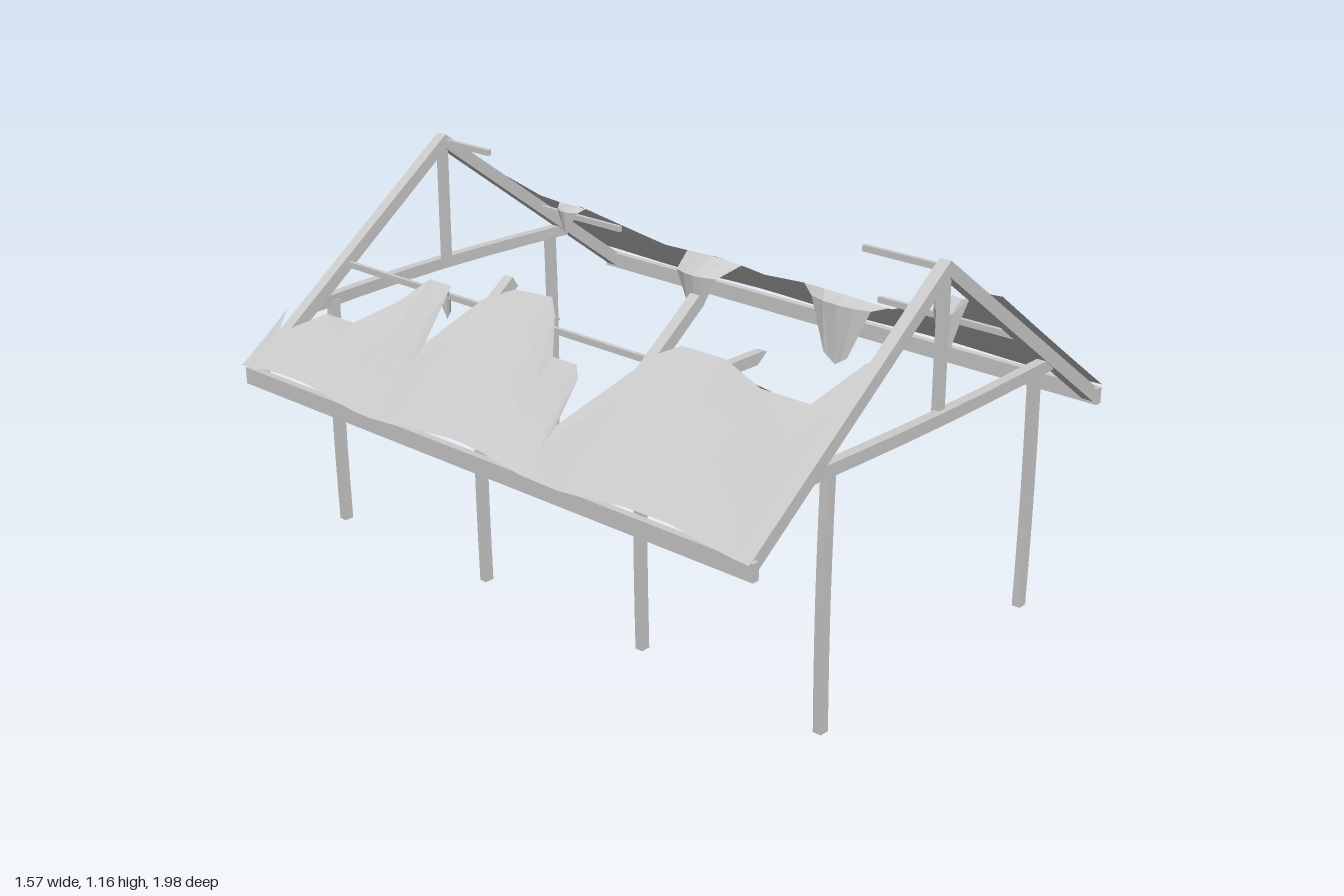
import * as THREE from 'three';

const wood = new THREE.MeshStandardMaterial({ color: 0xcccccc, flatShading: true });
const cloth = new THREE.MeshStandardMaterial({ color: 0xcccccc, flatShading: true, side: THREE.DoubleSide });

// height of the roof slope at distance x from the ridge
const roofY = x => 1.165 - 0.734 * Math.abs(x);

// straight or gently bowed square timber from a to b
function beam(name, a, b, w, h, bow = [0, 0, 0]) {
  const from = new THREE.Vector3(...a), to = new THREE.Vector3(...b);
  const len = from.distanceTo(to);
  const geo = new THREE.BoxGeometry(w, h, len, 1, 1, 6);
  const turn = new THREE.Matrix4().lookAt(to, from, new THREE.Vector3(0, 1, 0));
  if (a[0] === b[0] && a[2] === b[2]) turn.makeRotationX(-Math.PI / 2);
  const p = geo.attributes.position, v = new THREE.Vector3(), off = new THREE.Vector3(...bow);
  const mid = from.clone().add(to).multiplyScalar(0.5);
  for (let i = 0; i < p.count; i++) {
    v.fromBufferAttribute(p, i);
    const s = Math.sin(Math.PI * (v.z / len + 0.5));
    v.applyMatrix4(turn).add(mid).addScaledVector(off, s);
    p.setXYZ(i, v.x, v.y, v.z);
  }
  geo.computeVertexNormals();
  const mesh = new THREE.Mesh(geo, wood);
  mesh.name = name;
  return mesh;
}

// flat outline in x/y, thickened along z
function plank(name, pts, z, depth) {
  const geo = new THREE.ExtrudeGeometry(
    new THREE.Shape(pts.map(p => new THREE.Vector2(...p))), { depth, bevelEnabled: false });
  const mesh = new THREE.Mesh(geo, wood);
  mesh.position.z = z - depth / 2;
  mesh.name = name;
  return mesh;
}

// surface through rows of points
function sheet(name, rows) {
  const n = rows[0].length, index = [];
  for (let r = 0; r < rows.length - 1; r++)
    for (let c = 0; c < n - 1; c++) {
      const a = r * n + c, b = a + n;
      index.push(a, b, a + 1, a + 1, b, b + 1);
    }
  const geo = new THREE.BufferGeometry();
  geo.setAttribute('position', new THREE.Float32BufferAttribute(rows.flat(2), 3));
  geo.setIndex(index);
  geo.computeVertexNormals();
  const mesh = new THREE.Mesh(geo, cloth);
  mesh.name = name;
  return mesh;
}

// torn upper edges: [z, distance from ridge]
const tears = {
  left: [[-0.995, 0.22], [-0.97, 0.28], [-0.92, 0.40], [-0.84, 0.42], [-0.74, 0.41], [-0.62, 0.50],
    [-0.52, 0.57], [-0.4, 0.56], [-0.29, 0.55], [-0.2, 0.57], [-0.13, 0.60], [0.05, 0.57], [0.2, 0.58],
    [0.36, 0.60], [0.48, 0.52], [0.54, 0.56], [0.6, 0.58], [0.66, 0.46], [0.7, 0.31], [0.76, 0.32],
    [0.81, 0.33], [0.87, 0.24], [0.985, 0.22]],
  right: [[-0.98, 0.60], [-0.94, 0.67], [-0.82, 0.58], [-0.7, 0.58], [-0.6, 0.49], [-0.55, 0.41],
    [-0.46, 0.41], [-0.4, 0.57], [-0.32, 0.42], [-0.24, 0.37], [-0.1, 0.36], [-0.05, 0.40], [0.04, 0.50],
    [0.13, 0.50], [0.165, 0.53], [0.2, 0.65], [0.34, 0.42], [0.4, 0.38], [0.55, 0.38], [0.7, 0.42],
    [0.86, 0.42], [0.93, 0.30], [0.975, 0.26]],
};

function edgeAt(edge, z) {
  const i = Math.max(1, edge.findIndex(e => e[0] >= z));
  const [z0, x0] = edge[i - 1], [z1, x1] = edge[i];
  return x0 + (x1 - x0) * (z - z0) / (z1 - z0);
}

// cloth lying on one slope, slack between the trusses
function roofCloth(name, edge, side) {
  return sheet(name, edge.map(([z, inner]) => {
    const slack = Math.abs(Math.sin((z + 0.935) * Math.PI / 0.63));
    const outer = 0.775 + 0.012 * Math.sin(z * 9 + side);
    return [0, 0.25, 0.5, 0.75, 1].map(t => {
      const x = outer + (inner - outer) * t;
      const y = roofY(x) + 0.014 - 0.012 * slack * Math.sin(Math.PI * t);
      return [side * x, y, z];
    });
  }));
}

// rag drooping from the torn edge between z0 and z1
function rag(edge, side, z0, z1, mid, tip) {
  const zc = (z0 + z1) / 2, half = (z1 - z0) / 2;
  const steps = [-1, -0.5, 0, 0.5, 1];
  return sheet('hangingRag', [
    steps.map(s => {
      const z = zc + s * half, x = edgeAt(edge, z);
      return [side * x, roofY(x) + 0.014, z];
    }),
    steps.map(s => [side * (mid[0] + 0.02 * s * s), mid[1], zc + s * half * 0.75]),
    steps.map(s => [side * tip[0], tip[1] + 0.03 * Math.abs(s), zc + s * half * 0.3]),
  ]);
}

export function createModel() {
  const g = new THREE.Group();
  g.name = 'ruinedPavilion';

  // end trusses: gable rafters, tie beam, king post and posts
  for (const [end, z, bow] of [['front', 0.95, 0.012], ['back', -0.94, -0.03]]) {
    g.add(plank(end + 'Rafters', [[-0.77, 0.6], [-0.77, 0.55], [0, 1.12], [0.77, 0.55], [0.77, 0.6], [0, 1.165]], z, 0.036));
    g.add(beam(end + 'TieBeam', [-0.53, 0.74, z], [0.53, 0.74, z], 0.03, 0.036, [0, 0, bow]));
    g.add(beam(end + 'KingPost', [0, 0.745, z], [0, 1.13, z], 0.025, 0.025));
    for (const s of [-1, 1])
      g.add(beam(end + 'Post', [s * 0.458, s < 0 && z > 0 ? 0 : 0.015, z], [s * 0.458, 0.74, z], 0.03, 0.026, [s * 0.006, 0, 0]));
  }

  // surviving halves of the two middle trusses
  for (const [z, rafterEnd, tieEnd] of [[0.32, -0.24, 0.05], [-0.305, -0.33, -0.14]]) {
    const e = rafterEnd;
    g.add(plank('brokenRafter', [[-0.77, 0.6], [-0.77, 0.55], [e - 0.02, roofY(e) - 0.06], [e + 0.02, roofY(e) - 0.03], [e, roofY(e)]], z, 0.034));
    g.add(plank('brokenTieBeam', [[-0.53, 0.757], [-0.53, 0.722], [tieEnd - 0.04, 0.72], [tieEnd, 0.75], [tieEnd - 0.02, 0.755]], z, 0.028));
    g.add(beam('middlePost', [-0.458, 0.015, z + 0.006], [-0.458, 0.74, z + 0.006], 0.03, 0.024, [-0.006, 0, 0]));
  }

  // eave boards, ridge stubs and purlins
  for (const s of [-1, 1])
    g.add(beam('eaveBoard', [s * 0.766, 0.578, -0.965], [s * 0.766, 0.578, 0.98], 0.022, 0.05));
  for (const [name, x, y, z0, z1] of [
    ['ridgeStub', 0.004, 1.14, 0.69, 0.95], ['ridgeStub', 0.004, 1.14, -0.94, -0.73],
    ['purlin', -0.4, 0.84, -0.94, 0.95],
    ['purlinStub', 0.41, 0.84, -0.94, -0.57], ['purlinStub', 0.41, 0.84, 0.45, 0.95],
  ]) g.add(beam(name, [x, y, z0], [x, y, z1], 0.013, 0.018));

  // torn cloth
  const { left, right } = tears;
  g.add(roofCloth('leftCloth', left, 1), roofCloth('rightCloth', right, -1));
  for (const r of [
    [left, 1, -0.42, -0.2, [0.46, 0.73], [0.475, 0.6]],
    [left, 1, 0.05, 0.35, [0.54, 0.73], [0.54, 0.54]],
    [left, 1, 0.69, 0.82, [0.29, 0.9], [0.3, 0.76]],
    [left, 1, -0.85, -0.73, [0.375, 0.86], [0.385, 0.78]],
    [right, -1, -0.56, -0.45, [0.39, 0.84], [0.39, 0.76]],
    [right, -1, 0.62, 0.86, [0.39, 0.84], [0.385, 0.77]],
  ]) g.add(rag(...r));

  // cloth turned down over the back gable
  g.add(sheet('backClothFold', [0.22, 0.35, 0.5, 0.65, 0.77].map((x, i) => [
    [x, roofY(x) + 0.014, -0.995],
    [x, roofY(x) - 0.02 - 0.008 * (i % 2), -0.985],
  ])));
  return g;
}
